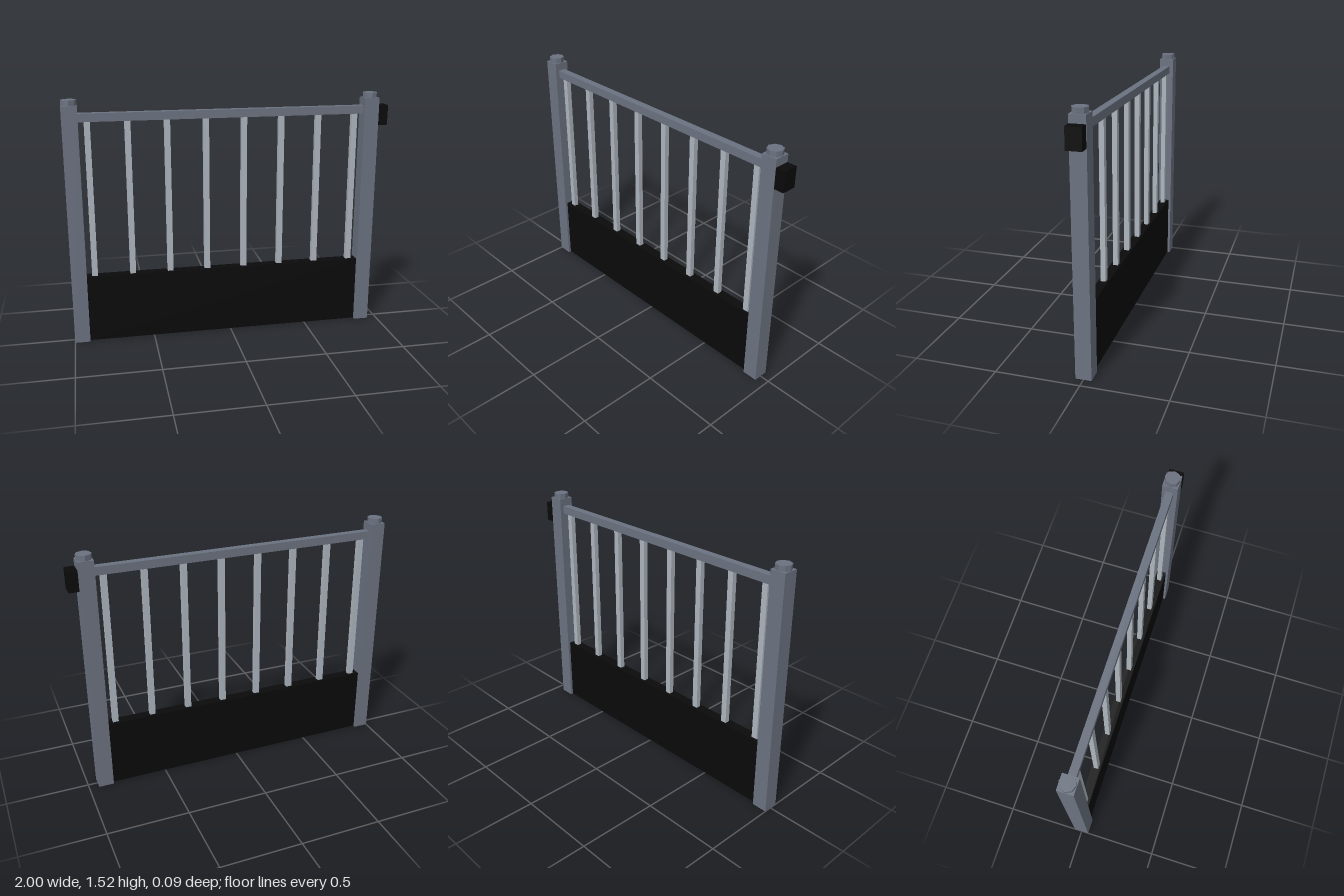
import * as THREE from 'three';

export function createModel() {
  const gate = new THREE.Group();
  gate.name = 'gate';

  const material = (name, color) => {
    const m = new THREE.MeshStandardMaterial({ color });
    m.name = name;
    return m;
  };
  const frameGrey = material('frame grey', 0x6b7280);
  const barGrey = material('light bar grey', 0xadb5bd);
  const black = material('matte black', 0x0a0a0a);

  const add = (name, geometry, mat, x, y, z = 0) => {
    const mesh = new THREE.Mesh(geometry, mat);
    mesh.name = name;
    mesh.position.set(x, y, z);
    gate.add(mesh);
  };
  // Box given by its x and y ranges, centred on z = 0
  const addBox = (name, mat, x0, x1, y0, y1, depth) =>
    add(name, new THREE.BoxGeometry(x1 - x0, y1 - y0, depth), mat, (x0 + x1) / 2, (y0 + y1) / 2);

  // Square end posts with octagonal caps
  const postWidth = 0.094;
  const postHeight = 1.485;
  const capHeight = 0.032;
  const capGeometry = new THREE.CylinderGeometry(0.046, 0.046, capHeight, 8).toNonIndexed();
  capGeometry.computeVertexNormals();
  for (const [side, x] of [['right', -0.953], ['left', 0.893]]) {
    addBox(`${side}Post`, frameGrey, x - postWidth / 2, x + postWidth / 2, 0, postHeight, postWidth);
    add(`${side}PostCap`, capGeometry, frameGrey, x, postHeight + capHeight / 2);
  }

  // Top rail and solid kick panel between the posts
  addBox('topRail', frameGrey, -0.906, 0.846, 1.387, 1.437, 0.046);
  addBox('kickPanel', black, -0.906, 0.846, 0.003, 0.427, 0.062);

  // Evenly spaced vertical bars
  const barCount = 8;
  for (let i = 0; i < barCount; i++) {
    const x = THREE.MathUtils.lerp(-0.855, 0.794, i / (barCount - 1));
    addBox(`bar${i + 1}`, barGrey, x - 0.018, x + 0.018, 0.427, 1.387, 0.03);
  }

  // Latch block on the outer face of the left post
  addBox('latch', black, 0.94, 1, 1.315, 1.438, 0.09);

  return gate;
}
